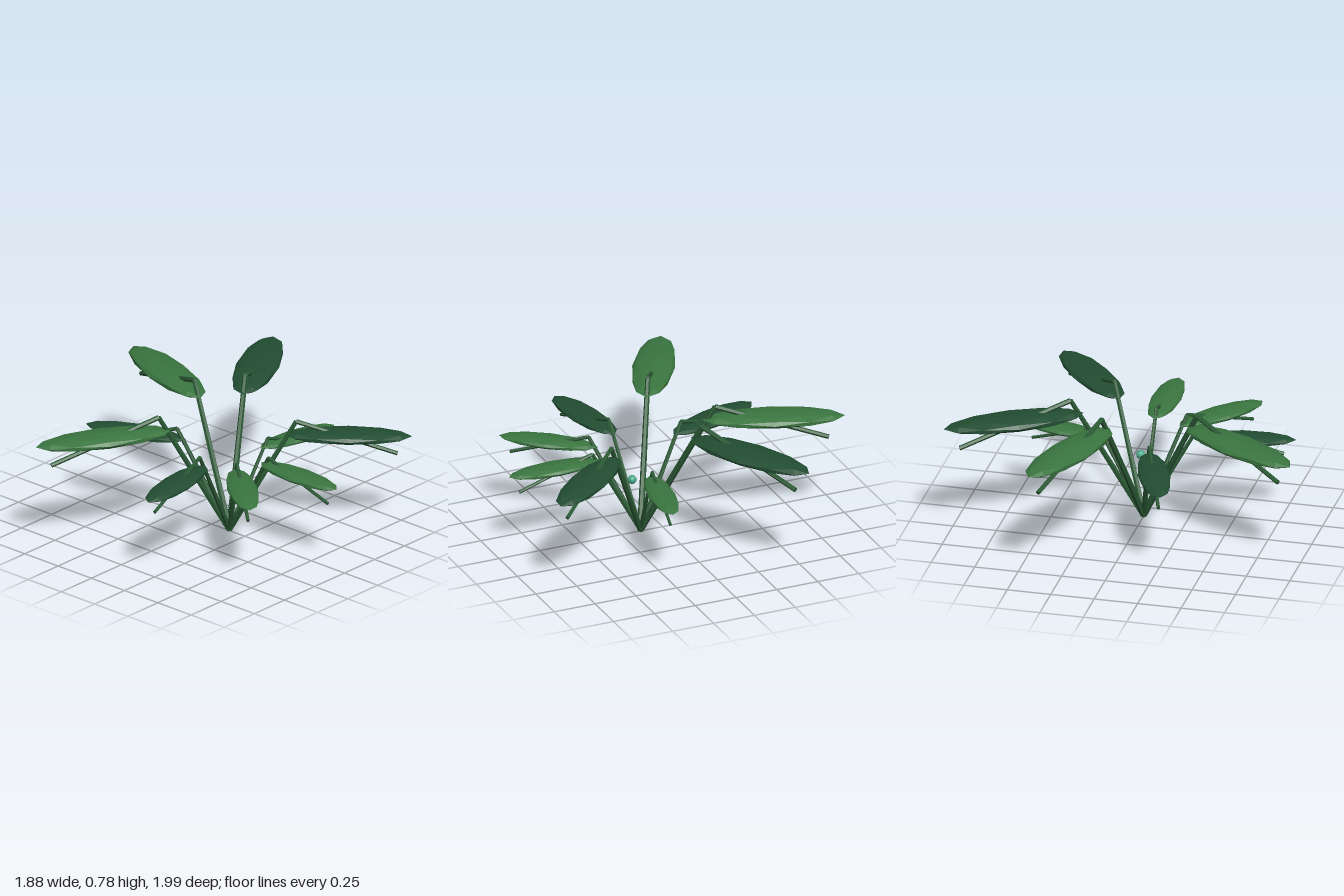
import * as THREE from 'three';

const flat = (name, color) => {
  const m = new THREE.MeshStandardMaterial({ color, flatShading: true });
  m.name = name;
  return m;
};

// Per frond, turning 40 degrees each: reach, leaf height
const FRONDS = [
  [0.805, 0.482], [1.02, 0.585], [0.74, 0.437], [1.16, 0.672], [1.145, 0.668],
  [0.864, 0.502], [1.135, 0.656], [0.854, 0.488], [0.82, 0.478],
];

// Thin cylinder between two points
function rod(a, b, rA, rB, material, name) {
  const dir = b.clone().sub(a);
  const mesh = new THREE.Mesh(new THREE.CylinderGeometry(rB, rA, dir.length(), 6), material);
  mesh.position.copy(a).addScaledVector(dir, 0.5);
  mesh.quaternion.setFromUnitVectors(new THREE.Vector3(0, 1, 0), dir.normalize());
  mesh.name = name;
  return mesh;
}

export function createModel() {
  const lightLeaf = flat('light leaf green', 0x3a7540);
  const darkLeaf = flat('dark leaf green', 0x224d32);
  const stemGreen = flat('stem green', 0x2b5a35);
  const teal = flat('teal', 0x4aa88a);

  const plant = new THREE.Group();
  plant.name = 'plant';
  const leafShape = new THREE.IcosahedronGeometry(1, 1);

  FRONDS.forEach(([reach, leafY], i) => {
    const frond = new THREE.Group();
    frond.name = 'frond' + (i + 1);
    frond.position.x = 0.135;
    frond.rotation.y = (i * 2 * Math.PI) / 9;

    // Rising stalk, then a midrib drooping through the leaf
    const root = new THREE.Vector3(0, 0, 0);
    const bend = new THREE.Vector3(0.365 * reach, 0.652 * reach, 0);
    const end = new THREE.Vector3(0.92 * reach, 0.47 * reach, 0);
    frond.add(rod(root, bend, 0.0165 * reach, 0.0125 * reach, stemGreen, 'stalk'));
    frond.add(rod(bend, end, 0.0125 * reach, 0.0115 * reach, stemGreen, 'midrib'));

    // Flattened faceted blade
    const leaf = new THREE.Mesh(leafShape, i % 2 ? darkLeaf : lightLeaf);
    leaf.name = 'leaf';
    leaf.scale.set(0.35 * reach, 0.033 * reach, 0.106 * reach);
    leaf.position.set(0.65 * reach, leafY, 0);
    frond.add(leaf);
    plant.add(frond);
  });

  // Small bead hovering among the stalks
  const bead = new THREE.Mesh(new THREE.IcosahedronGeometry(0.026, 1), teal);
  bead.name = 'bead';
  bead.position.set(0.2, 0.338, -0.033);
  plant.add(bead);

  return plant;
}
